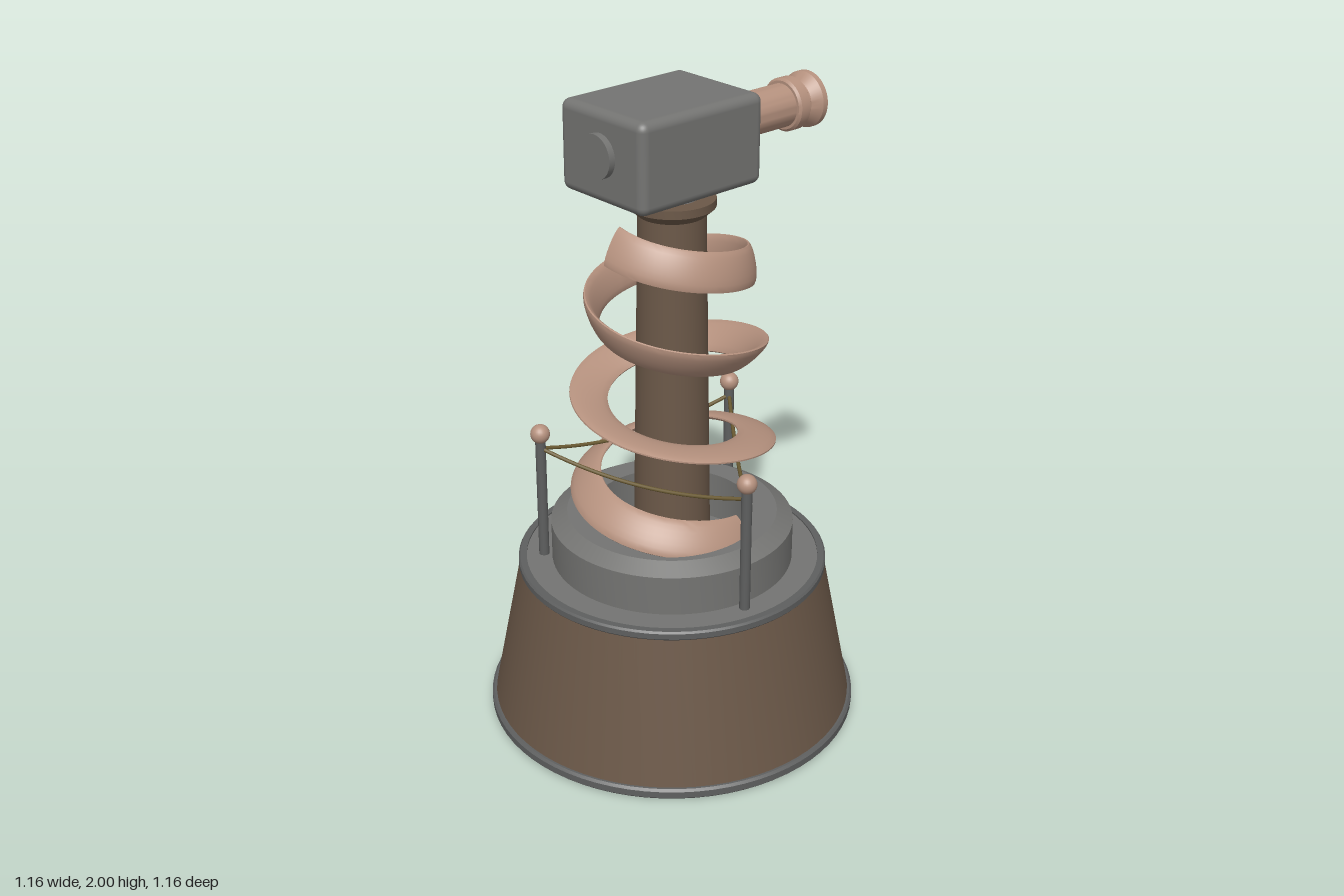
import * as THREE from 'three';
import { toCreasedNormals, mergeVertices } from 'three/addons/utils/BufferGeometryUtils.js';
import { RoundedBoxGeometry } from 'three/addons/geometries/RoundedBoxGeometry.js';

const paint = (name, color) => {
  const m = new THREE.MeshStandardMaterial({ color, side: THREE.DoubleSide });
  m.name = name;
  return m;
};

export function createModel() {
  const model = new THREE.Group();
  model.name = 'coiledTelescope';

  const brown = paint('brown', 0x6b5848);
  const copper = paint('copper', 0xb5917e);
  const grey = paint('grey', 0x747472);
  const steel = paint('steel', 0x5e5f5f);
  const lightSteel = paint('lightSteel', 0x85878a);
  const brass = paint('brass', 0x6a5a32);

  const add = (name, geometry, material, x = 0, y = 0, z = 0) => {
    const mesh = new THREE.Mesh(geometry, material);
    mesh.name = name;
    mesh.position.set(x, y, z);
    model.add(mesh);
    return mesh;
  };
  const lathe = (points, segments = 72) => toCreasedNormals(
    new THREE.LatheGeometry(points.map(([r, y]) => new THREE.Vector2(r, y)), segments), 0.5);

  // Hollow tapered base with its rims
  add('baseShell', lathe([[0.57, 0.03], [0.475, 0.51]]), brown);
  add('bottomRim', lathe([[0.56, 0.005], [0.575, 0.005], [0.582, 0.012], [0.582, 0.033],
    [0.575, 0.04], [0.56, 0.04], [0.56, 0.005]]), steel);
  add('topRim', lathe([[0.455, 0.5], [0.475, 0.5], [0.48, 0.506], [0.48, 0.524],
    [0.475, 0.53], [0.455, 0.53], [0.455, 0.5]]), steel);
  add('deck', new THREE.CylinderGeometry(0.457, 0.457, 0.02, 72), grey, 0, 0.515, 0);

  // Open drum around the foot of the column
  add('drum', lathe([[0.375, 0.525], [0.375, 0.65], [0.325, 0.68], [0.25, 0.68], [0.25, 0.525]]), grey);

  // Column with flared capital, and the swivel neck
  add('column', lathe([[0.12, 0.525], [0.1, 1.645], [0.128, 1.67], [0.128, 1.695], [0, 1.695]], 48), brown);
  add('neck', new THREE.CylinderGeometry(0.077, 0.077, 0.06, 40), lightSteel, 0, 1.72, 0);

  // Twisting ribbon wound down around the column
  const turns = 3.28;
  const ribbon = new THREE.CylinderGeometry(1, 1, 1, 18, 260);
  ribbon.deleteAttribute('uv');
  ribbon.deleteAttribute('normal');
  const pos = ribbon.attributes.position;
  for (let i = 0; i < pos.count; i++) {
    const t = pos.getY(i) + 0.5;
    const angle = t * turns * Math.PI * 2;
    const tilt = THREE.MathUtils.degToRad(-30 + 180 * t);
    const across = pos.getX(i) * 0.06;
    const thick = -pos.getZ(i) * 0.013;
    const r = 0.225 + 0.045 * t + across * Math.sin(tilt) + thick * Math.cos(tilt);
    const y = 1.6 - 0.28 * turns * t + across * Math.cos(tilt) - thick * Math.sin(tilt);
    pos.setXYZ(i, r * Math.sin(angle), y, r * Math.cos(angle));
  }
  add('spiralRibbon', toCreasedNormals(mergeVertices(ribbon), 0.9), copper);

  // Three ball-topped posts joined by sagging cables
  const postAt = (i, y) => {
    const a = THREE.MathUtils.degToRad(9.5 + 120 * i);
    return new THREE.Vector3(0.4 * Math.cos(a), y, 0.4 * Math.sin(a));
  };
  for (let i = 0; i < 3; i++) {
    const p = postAt(i, 0.73);
    add('post', new THREE.CylinderGeometry(0.016, 0.016, 0.41, 16), steel, p.x, p.y, p.z);
    add('postBall', new THREE.SphereGeometry(0.03, 24, 16), copper, p.x, 0.943, p.z);
    const start = postAt(i, 0.895), end = postAt(i + 1, 0.895);
    const mid = start.clone().add(end).multiplyScalar(0.5);
    mid.y = 0.805;
    add('cable', new THREE.TubeGeometry(new THREE.QuadraticBezierCurve3(start, mid, end), 20, 0.006, 8), brass);
  }

  // Rounded head with a round cap on the front
  add('head', new RoundedBoxGeometry(0.35, 0.265, 0.455, 4, 0.027), grey, 0, 1.8675, 0.0375);
  const cap = add('frontCap', new THREE.CylinderGeometry(0.064, 0.064, 0.03, 40), grey, 0, 1.875, 0.27);
  cap.rotation.x = Math.PI / 2;

  // Barrel pointing backwards, ending in an open flared cup
  const barrel = add('barrel', lathe([
    [0.07, 0], [0.08, 0.008], [0.08, 0.04], [0.073, 0.048], [0.065, 0.048], [0.065, 0.248],
    [0.073, 0.248], [0.08, 0.255], [0.08, 0.29], [0.073, 0.297], [0.06, 0.297], [0.062, 0.312],
    [0.085, 0.34], [0.085, 0.358], [0.079, 0.358], [0.055, 0.312], [0.055, 0.29], [0, 0.29],
  ], 48), copper, 0, 1.875, -0.187);
  barrel.rotation.x = -Math.PI / 2;

  return model;
}
